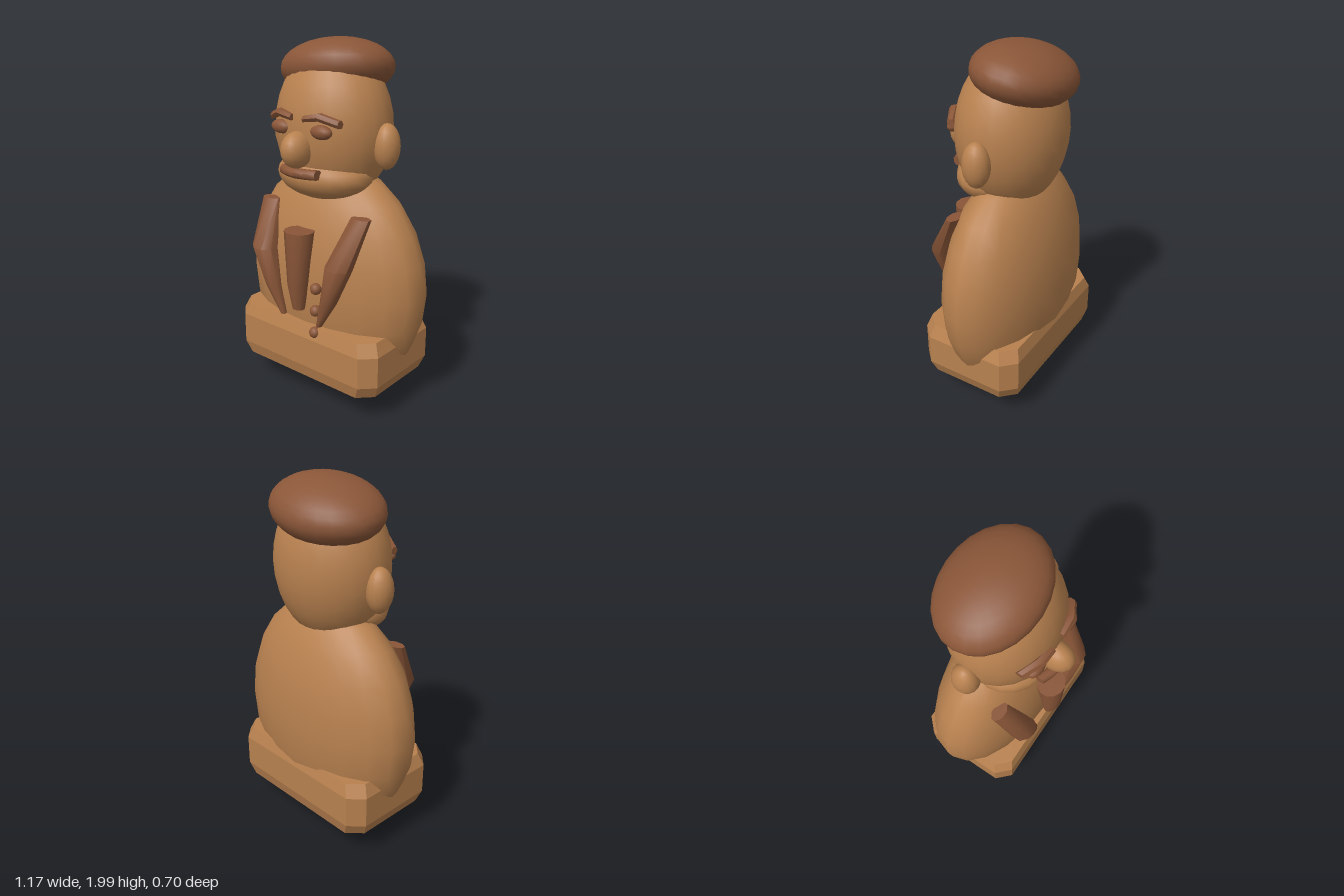
import * as THREE from 'three';
import { toCreasedNormals } from 'three/addons/utils/BufferGeometryUtils.js';

// Closed solid skinned over a list of rings (each an array of Vector3)
function loft(rings, crease) {
  const n = rings[0].length, tris = [];
  const center = r => r.reduce((s, p) => s.add(p), new THREE.Vector3()).divideScalar(n);
  const first = rings[0], last = rings[rings.length - 1];
  const c0 = center(first), c1 = center(last);
  for (let j = 0; j < n; j++) {
    const k = (j + 1) % n;
    tris.push([c0, first[k], first[j]], [c1, last[j], last[k]]);
    for (let i = 0; i < rings.length - 1; i++) {
      const a = rings[i], b = rings[i + 1];
      tris.push([a[j], a[k], b[k]], [a[j], b[k], b[j]]);
    }
  }
  // Turn the faces outward whichever way the rings run
  const volume = tris.reduce((s, [a, b, c]) => s + a.dot(b.clone().cross(c)), 0);
  const points = tris.flatMap(t => (volume < 0 ? [t[0], t[2], t[1]] : t));
  const geo = new THREE.BufferGeometry().setFromPoints(points);
  return toCreasedNormals(geo, crease);
}

// Elliptical ring lying flat (across y) or upright (across x)
function ring(x, y, z, r1, r2, n, upright = false) {
  return Array.from({ length: n }, (_, i) => {
    const a = ((i + 0.5) / n) * Math.PI * 2;
    const u = Math.cos(a) * r1, v = Math.sin(a) * r2;
    return upright ? new THREE.Vector3(x, y + u, z + v) : new THREE.Vector3(x + u, y, z + v);
  });
}

export function createModel() {
  const group = new THREE.Group();
  const wood = new THREE.MeshStandardMaterial({ color: 0xb8814f });
  wood.name = 'light wood';
  const dark = new THREE.MeshStandardMaterial({ color: 0x8a5638 });
  dark.name = 'dark wood';

  function add(name, geo, mat) {
    const mesh = new THREE.Mesh(geo, mat);
    mesh.name = name;
    group.add(mesh);
    return mesh;
  }
  function ellipsoid(name, mat, pos, rad, w = 20, h = 12) {
    const mesh = add(name, new THREE.SphereGeometry(1, w, h), mat);
    mesh.position.set(...pos);
    mesh.scale.set(...rad);
    return mesh;
  }

  // Body, head and jaw
  ellipsoid('body', wood, [0, 0.68, -0.055], [0.585, 0.67, 0.295]);
  ellipsoid('head', wood, [0, 1.54, -0.035], [0.335, 0.42, 0.285], 24, 16);
  ellipsoid('jaw', wood, [0, 1.295, 0.035], [0.285, 0.135, 0.215]);
  ellipsoid('nose', wood, [0, 1.455, 0.255], [0.075, 0.096, 0.1], 16, 12);

  // Tilted cap
  const cap = ellipsoid('cap', dark, [-0.025, 1.835, -0.09], [0.328, 0.157, 0.262], 24, 16);
  cap.rotation.set(-0.17, 0, 0.13);

  // Chamfered block around the base
  const blockRing = (y, inset) => {
    const x = 0.495 - inset, z = 0.304 - inset * 0.7, c = 0.075;
    return [[x, z - c], [x - c, z], [c - x, z], [-x, z - c], [-x, c - z], [c - x, -z], [x - c, -z], [x, c - z]]
      .map(([px, pz]) => new THREE.Vector3(px, y, pz - 0.03));
  };
  add('baseBlock', loft([blockRing(0.165, 0.03), blockRing(0.24, 0), blockRing(0.415, 0), blockRing(0.485, 0.03)], 0.1), wood);

  // Paired features
  for (const [side, s] of [['left', 1], ['right', -1]]) {
    ellipsoid(side + 'Ear', wood, [s * 0.345, 1.47, -0.04], [0.07, 0.12, 0.074], 16, 12);
    ellipsoid(side + 'Eye', dark, [s * 0.135, 1.555, 0.225], [0.066, 0.037, 0.036], 14, 8);
    add(side + 'Eyebrow', loft([
      ring(s * 0.04, 1.615, 0.245, 0.018, 0.022, 6, true),
      ring(s * 0.135, 1.632, 0.238, 0.022, 0.028, 6, true),
      ring(s * 0.228, 1.598, 0.19, 0.022, 0.024, 6, true),
    ], 0.7), dark);
    add(side + 'Lapel', loft([
      ring(s * 0.315, 1.12, 0.125, 0.06, 0.035, 8),
      ring(s * 0.265, 0.87, 0.245, 0.078, 0.066, 8),
      ring(s * 0.2, 0.66, 0.25, 0.048, 0.042, 8),
      ring(s * 0.13, 0.5, 0.245, 0.016, 0.018, 8),
    ], 0.85), dark);
  }

  // Bar-shaped mouth, bent round the face
  add('mouth', loft([
    [-0.118, 0.235], [-0.06, 0.258], [0, 0.268], [0.06, 0.258], [0.118, 0.235],
  ].map(([x, z]) => ring(x, 1.335, z, 0.027, 0.03, 8, true)), 0.85), dark);

  // Tie
  add('tie', loft([
    ring(0, 1.02, 0.25, 0.085, 0.078, 12),
    ring(0, 0.72, 0.265, 0.055, 0.06, 12),
    ring(0, 0.575, 0.262, 0.036, 0.032, 12),
  ], 0.7), dark);

  // Row of buttons
  [[0.712, 0.242], [0.585, 0.245], [0.459, 0.252]].forEach(([y, z], i) =>
    ellipsoid('button' + (i + 1), dark, [0.107, y, z], [0.032, 0.032, 0.032], 12, 8));

  return group;
}
